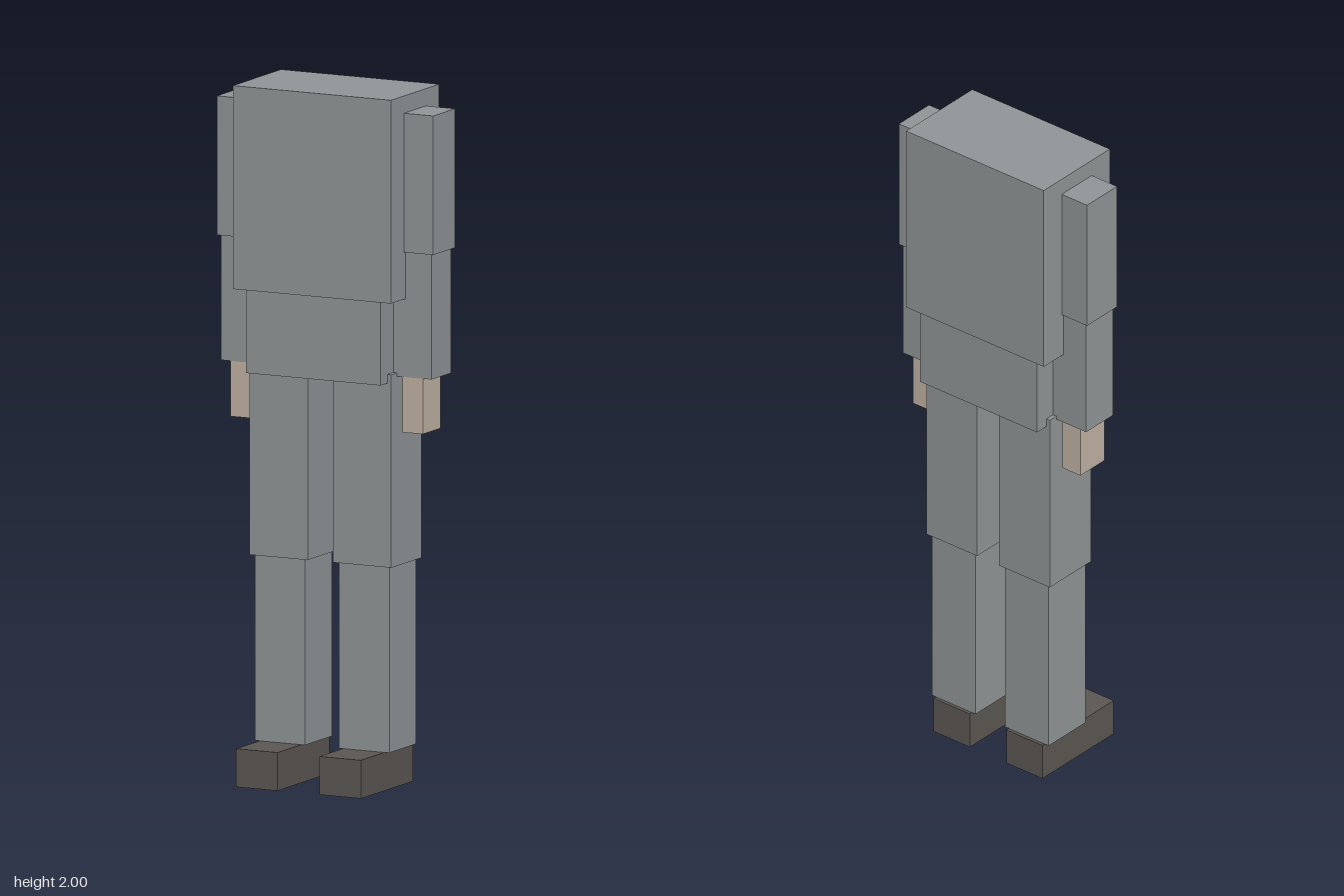
import * as THREE from 'three';

const material = (name, color) => {
  const m = new THREE.MeshStandardMaterial({ color });
  m.name = name;
  return m;
};

export function createModel() {
  const grey = material('clothGrey', 0x929698);
  const skin = material('skin', 0xc2b3a4);
  const dark = material('shoeBrown', 0x5c5753);

  // Box given by its extents along each axis
  const block = (name, mat, [x0, x1], [y0, y1], [z0, z1]) => {
    const mesh = new THREE.Mesh(new THREE.BoxGeometry(x1 - x0, y1 - y0, z1 - z0), mat);
    mesh.position.set((x0 + x1) / 2, (y0 + y1) / 2, (z0 + z1) / 2);
    mesh.name = name;
    return mesh;
  };

  const model = new THREE.Group();
  model.name = 'blockFigure';

  // Torso
  model.add(
    block('chest', grey, [-0.253, 0.253], [1.415, 2], [-0.188, 0.105]),
    block('abdomen', grey, [-0.215, 0.215], [1.175, 1.415], [-0.172, 0.096]),
  );

  // Limb parts on the left side: name, material, x, y and z extents
  const arm = [
    ['UpperArm', grey, [0.205, 0.346], [1.55, 1.95], [-0.108, 0.025]],
    ['Forearm', grey, [0.213, 0.337], [1.19, 1.55], [-0.101, 0.018]],
    ['Hand', skin, [0.243, 0.308], [1.03, 1.19], [-0.092, 0.015]],
  ];
  const leg = [
    ['Thigh', grey, [0.04, 0.227], [0.645, 1.2], [-0.13, 0.054]],
    ['Shin', grey, [0.054, 0.215], [0.11, 0.645], [-0.12, 0.043]],
    ['Foot', dark, [0.067, 0.2], [0, 0.11], [-0.13, 0.186]],
  ];

  // Mirror each limb to both sides
  for (const [side, sign] of [['left', 1], ['right', -1]]) {
    for (const [limbName, parts] of [['Arm', arm], ['Leg', leg]]) {
      const limb = new THREE.Group();
      limb.name = side + limbName;
      for (const [name, mat, x, y, z] of parts) {
        const mesh = block(side + name, mat, x, y, z);
        mesh.position.x *= sign;
        limb.add(mesh);
      }
      model.add(limb);
    }
  }
  return model;
}
